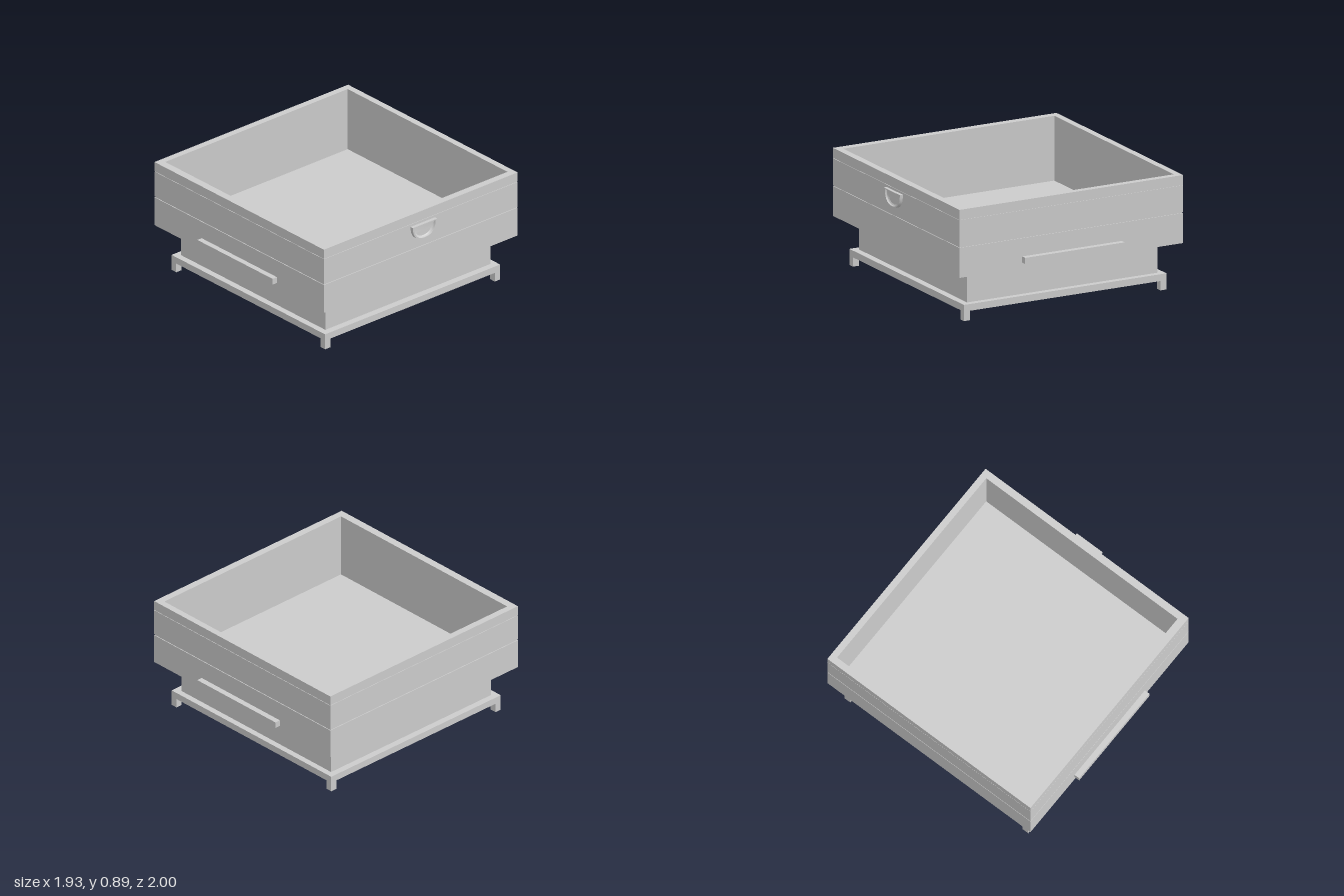
import * as THREE from 'three';
import { toCreasedNormals } from 'three/addons/utils/BufferGeometryUtils.js';

const material = new THREE.MeshStandardMaterial({ color: 0xcccccc });

function add(group, name, geometry) {
  const mesh = new THREE.Mesh(geometry, material);
  mesh.name = name;
  group.add(mesh);
}

// Box given by its limits on each axis
function block(group, name, [x0, x1], [y0, y1], [z0, z1]) {
  const g = new THREE.BoxGeometry(x1 - x0, y1 - y0, z1 - z0);
  g.translate((x0 + x1) / 2, (y0 + y1) / 2, (z0 + z1) / 2);
  add(group, name, g);
}

const rectangle = (x0, x1, z0, z1) =>
  [[x0, -z0], [x0, -z1], [x1, -z1], [x1, -z0]].map(p => new THREE.Vector2(...p));

// Hollow square frame between two heights, its outside set in by inset
function frame(group, name, y0, y1, inset) {
  const shape = new THREE.Shape(rectangle(-0.97 + inset, 0.923 - inset, -0.943 + inset, 0.957 - inset));
  shape.holes.push(new THREE.Path(rectangle(-0.918, 0.867, -0.893, 0.897)));
  const g = new THREE.ExtrudeGeometry(shape, { depth: y1 - y0, bevelEnabled: false });
  g.rotateX(-Math.PI / 2).translate(0, y0, 0);
  add(group, name, g);
}

// Half-round dished pull: D-shaped loops joined from back to front and into the dish
function pullGeometry() {
  const outline = [];
  for (let i = 0; i <= 20; i++) {
    const a = (Math.PI * i) / 20, c = Math.cos(a);
    outline.push([0.12 * Math.sign(c) * Math.abs(c) ** 0.85, 0.058 - 0.122 * Math.sin(a) ** 0.85]);
  }
  // scale of the outline, x position
  const rings = [[0, 0.938], [1, 0.938], [1, 0.964], [0.86, 0.964], [0.8, 0.952], [0.68, 0.945], [0, 0.943]];
  const n = outline.length, positions = [], index = [];
  for (const [s, x] of rings)
    for (const [z, y] of outline) positions.push(x, 0.743 + y * s, z * s);
  for (let r = 0; r < rings.length - 1; r++)
    for (let i = 0; i < n; i++) {
      const j = (i + 1) % n, a = r * n + i, b = r * n + j;
      if (r > 0) index.push(a, b, b + n);
      if (r < rings.length - 2) index.push(a, b + n, a + n);
      else index.push();
      if (r === 0) index.splice(-3, 3, a, b + n, a + n);
    }
  const g = new THREE.BufferGeometry();
  g.setAttribute('position', new THREE.Float32BufferAttribute(positions, 3));
  // keep the faces pointing outwards
  const p = positions, [a, b, c] = index.slice(0, 3).map(i => new THREE.Vector3(p[3 * i], p[3 * i + 1], p[3 * i + 2]));
  if (b.sub(a).cross(c.sub(a)).x > 0) index.reverse();
  g.setIndex(index);
  return toCreasedNormals(g, 0.5);
}

export function createModel() {
  const model = new THREE.Group();

  // Open box: stacked frames with fine grooves between them
  const tray = new THREE.Group();
  tray.name = 'tray';
  frame(tray, 'lowerFrame', 0.367, 0.597, 0);
  frame(tray, 'lowerGroove', 0.597, 0.605, 0.006);
  frame(tray, 'middleFrame', 0.605, 0.81, 0);
  frame(tray, 'upperGroove', 0.81, 0.814, 0.004);
  frame(tray, 'rimFrame', 0.814, 0.889, 0);
  block(tray, 'trayFloor', [-0.918, 0.867], [0.367, 0.392], [-0.893, 0.897]);
  model.add(tray);

  // Pedestal and the plate under it
  block(model, 'pedestal', [-0.83, 0.78], [0.1, 0.375], [-0.803, 0.817]);
  block(model, 'basePlate', [-0.881, 0.834], [0.072, 0.124], [-0.85, 0.867]);

  // Four corner feet
  for (const x of [[-0.881, -0.829], [0.782, 0.834]])
    for (const z of [[-0.85, -0.798], [0.815, 0.867]])
      block(model, 'foot', x, [0, 0.08], z);

  // Long bar handles, front and back
  block(model, 'frontBar', [-0.442, 0.4], [0.414, 0.461], [0.957, 1]);
  block(model, 'backBar', [-0.442, 0.4], [0.414, 0.461], [-1, -0.955]);

  add(model, 'sidePull', pullGeometry());
  return model;
}
